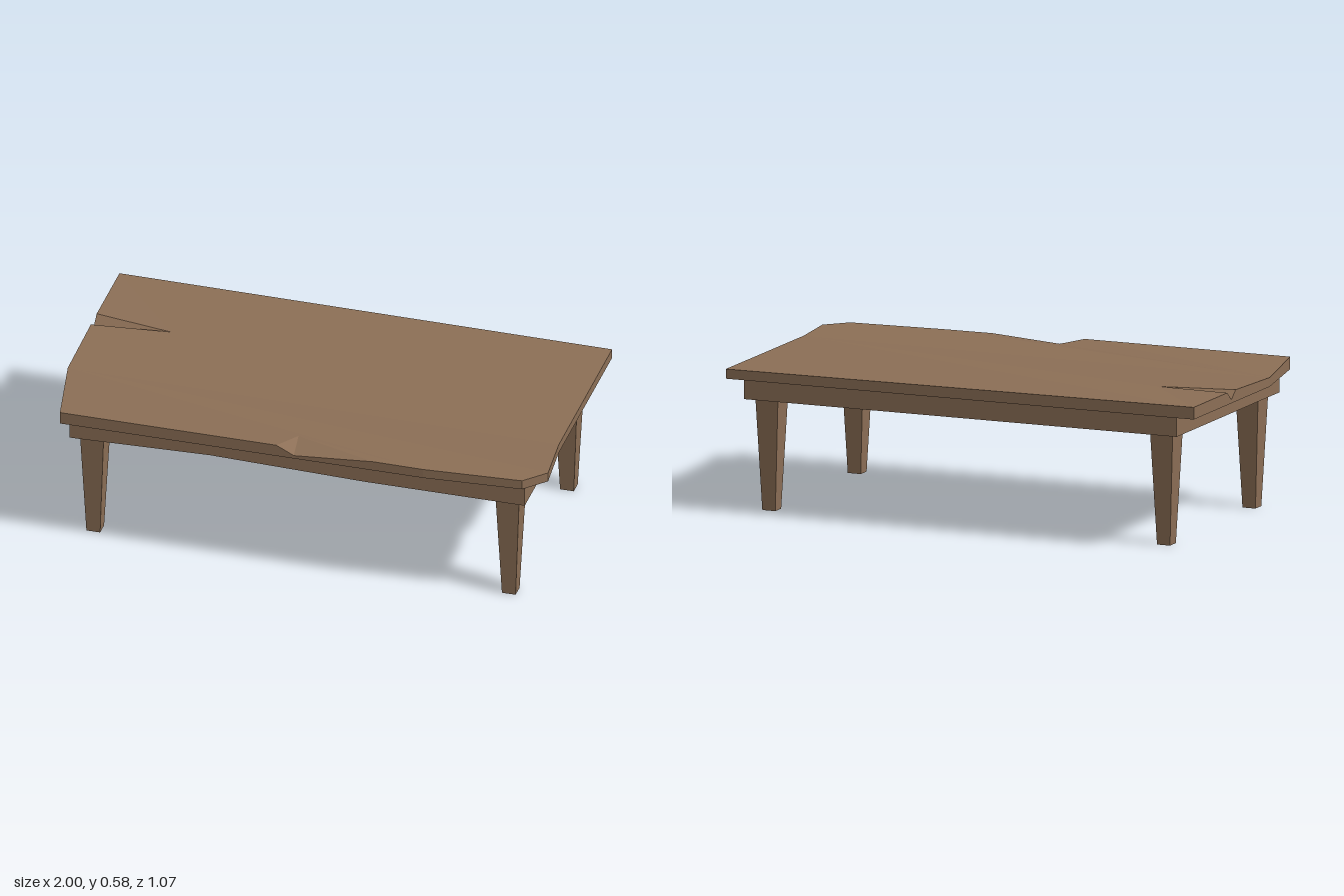
import * as THREE from 'three';

const wood = new THREE.MeshStandardMaterial({ color: 0x8c6f56 });
wood.name = 'brown wood';

const TOP_BOTTOM = 0.527, APRON_BOTTOM = 0.442;

// Worn slab: uneven upper face with two chips cut into its rim
function makeTabletop() {
  const P = (x, y, z) => new THREE.Vector3(x, y, z);
  const backLeft = P(-1, 0.575, -0.535), backRight = P(0.98, 0.565, -0.535);
  const dipRight = P(0.98, 0.563, 0.2), dipLeft = P(-1, 0.563, 0.18);
  const bulge = P(1, 0.565, 0.42), corner = P(0.92, 0.565, 0.505);
  const frontBend = P(0.53, 0.565, 0.53), frontLeft = P(-0.93, 0.576, 0.53);
  // chips: two rim points, the inner tip and the lowest rim point
  const front = { a: P(0.33, 0.566, 0.53), b: P(-0.06, 0.575, 0.53), tip: P(0, 0.569, 0.43), low: P(0.01, 0.54, 0.53) };
  const left = { a: P(-1, 0.573, -0.14), b: P(-1, 0.575, -0.22), tip: P(-0.69, 0.568, -0.18), low: P(-1, 0.541, -0.18) };

  const pos = [];
  const tri = (a, b, c) => pos.push(...a.toArray(), ...b.toArray(), ...c.toArray());
  const facing = (a, b, c, up) => {
    const ny = b.clone().sub(a).cross(c.clone().sub(a)).y;
    if (ny * up > 0) tri(a, b, c); else tri(a, c, b);
  };
  const fill = (pts, up) => {
    const flat = pts.map(p => new THREE.Vector2(p.x, p.z));
    for (const [i, j, k] of THREE.ShapeUtils.triangulateShape(flat, [])) facing(pts[i], pts[j], pts[k], up);
  };

  // upper face in two halves that meet in a shallow valley
  fill([backLeft, backRight, dipRight, dipLeft, left.a, left.tip, left.b], 1);
  fill([dipLeft, dipRight, bulge, corner, frontBend, front.a, front.tip, front.b, frontLeft], 1);
  for (const c of [front, left]) {
    facing(c.a, c.tip, c.low, 1);
    facing(c.low, c.tip, c.b, 1);
  }

  // rim and underside
  const rim = [backLeft, backRight, dipRight, bulge, corner, frontBend, front.a, front.low, front.b,
    frontLeft, dipLeft, left.a, left.low, left.b];
  const base = rim.map(p => P(p.x, TOP_BOTTOM, p.z));
  rim.forEach((a, i) => {
    const j = (i + 1) % rim.length;
    tri(a, rim[j], base[j]);
    tri(a, base[j], base[i]);
  });
  fill(base, -1);

  const geo = new THREE.BufferGeometry();
  geo.setAttribute('position', new THREE.Float32BufferAttribute(pos, 3));
  geo.computeVertexNormals();
  return geo;
}

// Apron board running along x, with optional worn points on its lower edge
function makeBoard(length, thickness, wear = []) {
  const h = length / 2;
  const outline = [[-h, APRON_BOTTOM], ...wear, [h, APRON_BOTTOM], [h, TOP_BOTTOM], [-h, TOP_BOTTOM]];
  const shape = new THREE.Shape(outline.map(([x, y]) => new THREE.Vector2(x, y)));
  return new THREE.ExtrudeGeometry(shape, { depth: thickness, bevelEnabled: false })
    .translate(0, 0, -thickness / 2);
}

export function createModel() {
  const table = new THREE.Group();
  table.name = 'table';
  const add = (name, geo, x = 0, y = 0, z = 0) => {
    const mesh = new THREE.Mesh(geo, wood);
    mesh.name = name;
    mesh.position.set(x, y, z);
    table.add(mesh);
    return mesh;
  };

  add('tabletop', makeTabletop());

  // Apron frame, open underneath
  const cx = 0.01, halfX = 0.915, halfZ = 0.485, t = 0.032;
  const frontWear = [[-0.88, APRON_BOTTOM], [-0.35, 0.457], [0.27, APRON_BOTTOM]];
  const rightWear = [[-0.23, APRON_BOTTOM], [-0.095, 0.47], [-0.07, APRON_BOTTOM]];
  add('frontApron', makeBoard(halfX * 2, t, frontWear), cx, 0, halfZ - t / 2);
  add('backApron', makeBoard(halfX * 2, t), cx, 0, -halfZ + t / 2);
  const sideLength = (halfZ - t) * 2;
  add('leftApron', makeBoard(sideLength, t, rightWear), cx + halfX - t / 2).rotation.y = Math.PI / 2;
  add('rightApron', makeBoard(sideLength, t), cx - halfX + t / 2).rotation.y = Math.PI / 2;

  // Square tapered legs
  const legGeo = new THREE.CylinderGeometry(0.0515 * Math.SQRT2, 0.0275 * Math.SQRT2, TOP_BOTTOM, 4, 1)
    .rotateY(Math.PI / 4).toNonIndexed();
  legGeo.computeVertexNormals();
  for (const sx of [-1, 1]) for (const sz of [-1, 1]) {
    add((sz > 0 ? 'front' : 'back') + (sx > 0 ? 'Left' : 'Right') + 'Leg', legGeo,
      cx + sx * 0.835, TOP_BOTTOM / 2, sz * 0.4025);
  }
  return table;
}
